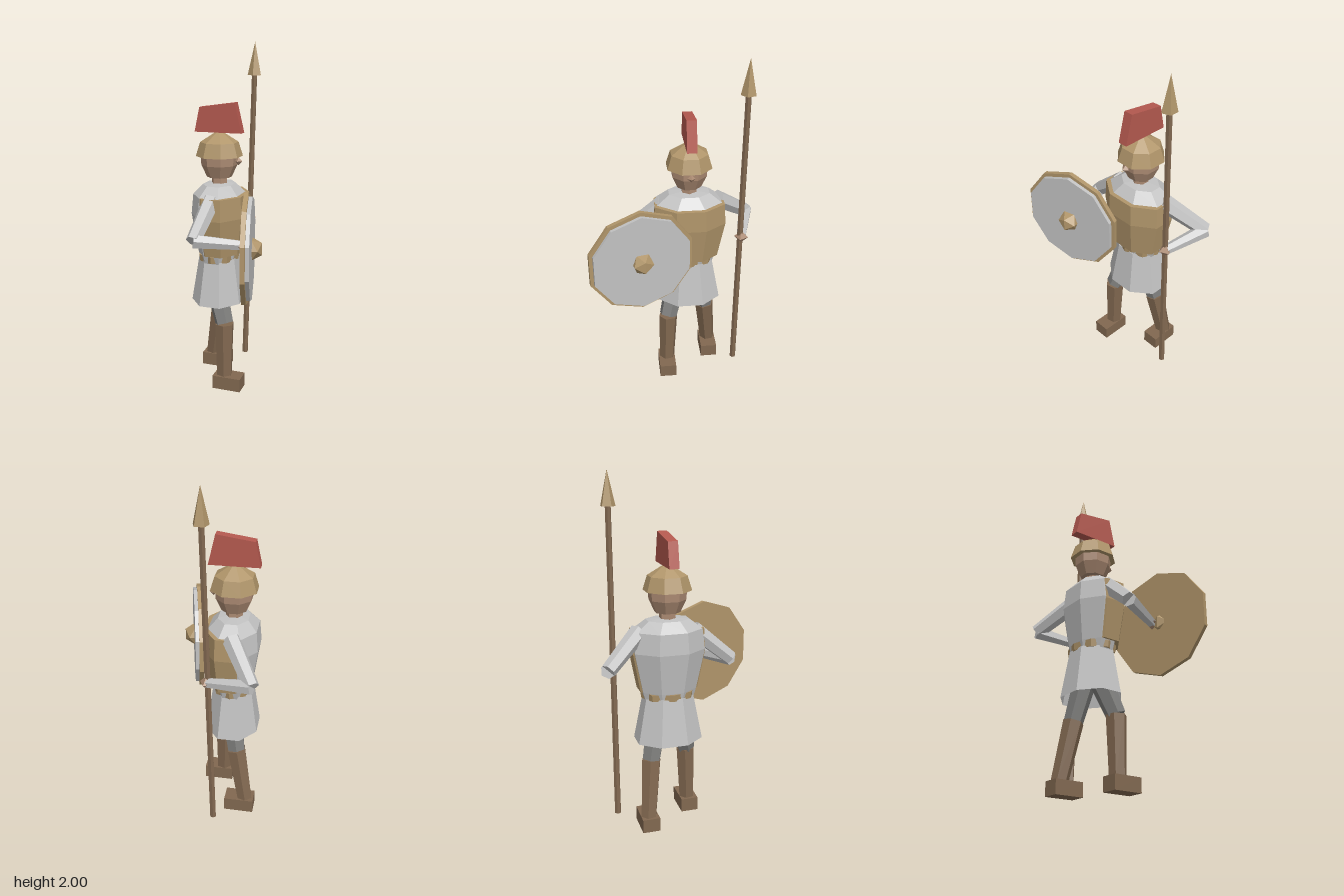
import * as THREE from 'three';

const mat = (name, color) => {
  const m = new THREE.MeshStandardMaterial({ color, flatShading: true });
  m.name = name;
  return m;
};

export function createModel() {
  const bronze = mat('bronze', 0xb0956a);
  const grey = mat('pale grey', 0xc2c2c2);
  const darkGrey = mat('dark grey', 0x7e7e7c);
  const leather = mat('leather brown', 0x816850);
  const skin = mat('skin', 0xac8b73);
  const red = mat('crest red', 0xb4594f);

  const model = new THREE.Group();
  model.name = 'spearman';

  const add = (parent, name, geometry, material, x = 0, y = 0, z = 0) => {
    const mesh = new THREE.Mesh(geometry, material);
    mesh.name = name;
    mesh.position.set(x, y, z);
    parent.add(mesh);
    return mesh;
  };

  // Eight-sided shell from [radius, height] points, listed upwards; depth flattens it
  const shell = (points, depth = 1, phase = Math.PI / 8) => {
    const profile = points.map(([r, y]) => new THREE.Vector2(r, y));
    return new THREE.LatheGeometry(profile, 8, phase).scale(1, 1, depth);
  };

  // Tapered rod between two points
  const rod = (name, from, to, r1, r2, material, sides = 6) => {
    const a = new THREE.Vector3(...from), b = new THREE.Vector3(...to);
    const dir = b.clone().sub(a);
    const mesh = add(model, name, new THREE.CylinderGeometry(r2, r1, dir.length(), sides), material);
    mesh.position.copy(a).addScaledVector(dir, 0.5);
    mesh.quaternion.setFromUnitVectors(new THREE.Vector3(0, 1, 0), dir.normalize());
    return mesh;
  };

  // Torso, turned slightly to its left
  const body = new THREE.Group();
  body.name = 'body';
  body.position.set(0.048, 0, -0.11);
  body.rotation.y = 0.32;
  model.add(body);

  add(body, 'tunic', shell([[0, 0.76], [0.15, 0.76], [0.165, 0.81], [0.215, 1.04],
    [0.2, 1.155], [0.125, 1.21], [0, 1.22]], 0.72), grey);
  add(body, 'breastplate', shell([[0, 0.81], [0.178, 0.81], [0.222, 1.03],
    [0.215, 1.155], [0, 1.16]], 0.7), bronze, 0, 0, 0.016);
  add(body, 'belt', shell([[0, 0.765], [0.153, 0.765], [0.16, 0.805], [0, 0.805]], 0.76, 0), bronze);
  const skirt = add(body, 'skirt', shell([[0.2, 0.51], [0.147, 0.775], [0, 0.78]], 0.8), grey);
  skirt.material = grey.clone();
  skirt.material.name = 'skirt grey';
  skirt.material.side = THREE.DoubleSide;

  // Neck and head
  add(body, 'neck', new THREE.CylinderGeometry(0.045, 0.048, 0.1, 6), skin, 0, 1.23, 0);
  add(body, 'head', shell([[0, 1.245], [0.072, 1.25], [0.104, 1.32], [0.108, 1.39], [0, 1.45]]), skin);
  add(body, 'nose', new THREE.OctahedronGeometry(0.023), skin, 0, 1.345, 0.115);

  // Helmet with its crest
  add(body, 'helmet', shell([[0, 1.368], [0.135, 1.37], [0.11, 1.45], [0, 1.52]]), bronze);
  const outline = new THREE.Shape([[-0.14, 1.505], [0.14, 1.505], [0.1, 1.675], [-0.11, 1.645]]
    .map(([x, y]) => new THREE.Vector2(x, y)));
  const crest = new THREE.ExtrudeGeometry(outline, { depth: 0.055, bevelEnabled: false });
  crest.translate(0, 0, -0.0275).rotateY(-Math.PI / 2);
  add(body, 'crest', crest, red);

  // Arms: shoulder, elbow, hand
  const arms = [
    ['left', [0.2, 1.15, -0.17], [0.345, 0.99, -0.365], [0.36, 0.95, -0.11]],
    ['right', [-0.09, 1.14, -0.06], [-0.305, 0.96, -0.015], [-0.125, 0.93, 0.185]],
  ];
  for (const [side, shoulder, elbow, hand] of arms) {
    rod(side + 'UpperArm', shoulder, elbow, 0.052, 0.042, grey);
    rod(side + 'Forearm', elbow, hand, 0.042, 0.028, grey);
    add(model, side + 'Hand', new THREE.OctahedronGeometry(0.04), skin, ...hand);
  }

  // Legs: hip, knee, ankle, foot
  const legs = [
    ['left', [0.11, 0.62, -0.13], [0.14, 0.4, -0.18], [0.153, 0.07, -0.245], [0.16, 0.04, -0.215]],
    ['right', [-0.02, 0.62, -0.09], [-0.05, 0.4, 0.0], [-0.058, 0.07, 0.005], [-0.052, 0.04, 0.032]],
  ];
  for (const [side, hip, knee, ankle, foot] of legs) {
    rod(side + 'Thigh', hip, knee, 0.066, 0.054, darkGrey);
    rod(side + 'Shin', ankle, knee, 0.047, 0.058, leather);
    add(model, side + 'Foot', new THREE.BoxGeometry(0.1, 0.08, 0.17), leather, ...foot).rotation.y = 0.32;
  }

  // Spear
  rod('spearShaft', [0.345, 0.03, -0.135], [0.36, 1.82, -0.09], 0.019, 0.017, leather);
  add(model, 'spearHead', new THREE.ConeGeometry(0.043, 0.19, 5), bronze, 0.361, 1.905, -0.088);

  // Round shield: backing, face and boss
  const shield = new THREE.Group();
  shield.name = 'shield';
  shield.position.set(-0.155, 0.925, 0.214);
  shield.rotation.y = 0.56;
  model.add(shield);
  const disc = (r, depth) => new THREE.CylinderGeometry(r, r, depth, 10).rotateX(Math.PI / 2);
  add(shield, 'shieldBacking', disc(0.31, 0.025), bronze, 0, 0, 0.0125);
  add(shield, 'shieldFace', disc(0.289, 0.022), grey, 0, 0, 0.035);
  add(shield, 'shieldBoss', new THREE.IcosahedronGeometry(0.066), bronze, 0, 0, 0.042);

  return model;
}
